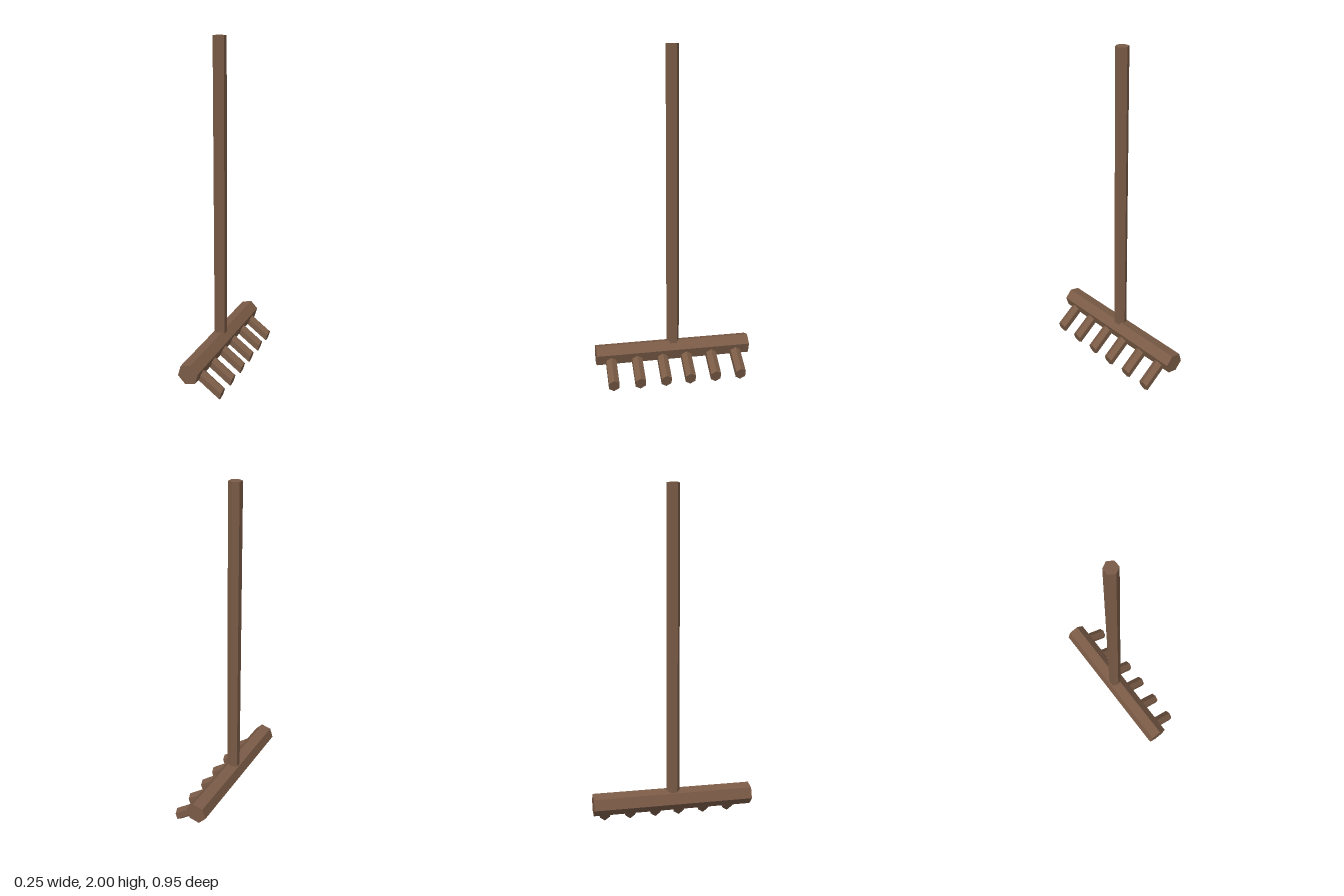
import * as THREE from 'three';

export function createModel() {
  const group = new THREE.Group();
  const wood = new THREE.MeshStandardMaterial({ color: 0x7a5b46, flatShading: true });
  const add = (name, geometry) => {
    const mesh = new THREE.Mesh(geometry, wood);
    mesh.name = name;
    group.add(mesh);
    return mesh;
  };

  // Upright six-sided handle, its foot sunk into the head
  const foot = 0.2, top = 2;
  add('handle', new THREE.CylinderGeometry(0.039, 0.039, top - foot, 6))
    .position.set(-0.063, (top + foot) / 2, 0);

  // Six-sided crossbar along z, rolled slightly about its axis
  const roll = THREE.MathUtils.degToRad(-16.5);
  add('head', new THREE.CylinderGeometry(0.0643, 0.0643, 0.95, 6).rotateX(Math.PI / 2).rotateZ(roll))
    .position.set(-0.0605, 0.167, 0);

  // Slanted teeth: six-sided prisms sheared so their ends follow the head's roll
  const root = new THREE.Vector3(-0.04, 0.147, 0);
  const tip = new THREE.Vector3(0.111, 0.037, 0);
  const across = new THREE.Vector3(0, 0, 0.0352);
  const along = tip.clone().sub(root);
  const ridge = new THREE.Vector3(0.011, 0.037, 0);
  const shear = new THREE.Matrix4().makeBasis(across, along, ridge);
  const centre = root.clone().add(tip).multiplyScalar(0.5);
  for (const z of [-0.389, -0.232, -0.075, 0.073, 0.23, 0.388]) {
    add('tooth', new THREE.CylinderGeometry(1, 1, 1, 6).applyMatrix4(shear))
      .position.set(centre.x, centre.y, z);
  }
  return group;
}
